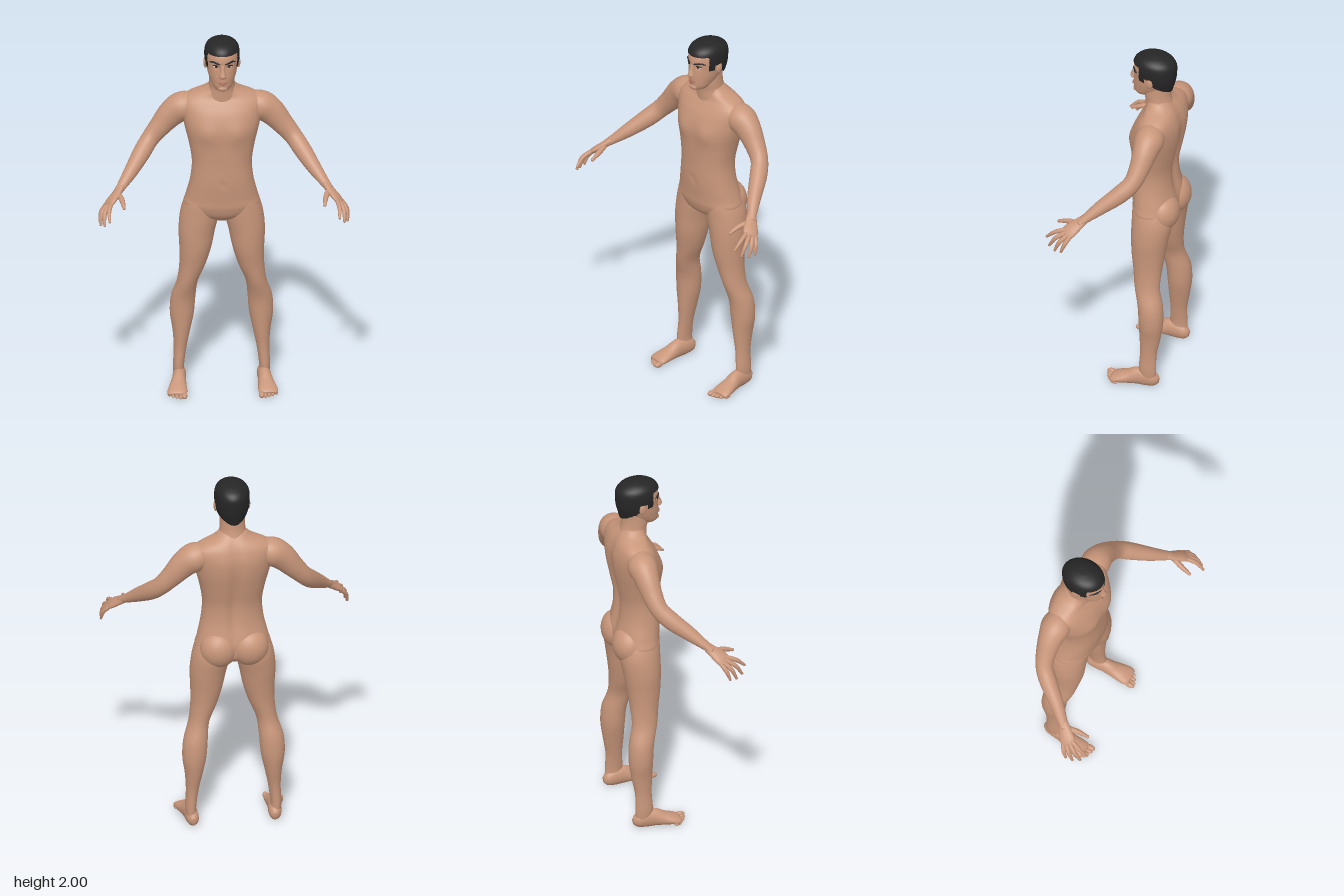
import * as THREE from 'three';

const mat = (name, color, side = THREE.FrontSide) => {
  const m = new THREE.MeshStandardMaterial({ color, side });
  m.name = name;
  return m;
};

// Smooth rows of numbers into `steps` in-between rows per gap.
function smoothRows(rows, steps) {
  const curve = new THREE.CubicInterpolant(rows.map((_, i) => i), rows.flat(), rows[0].length);
  const out = [];
  for (let i = 0; i <= (rows.length - 1) * steps; i++) out.push([...curve.evaluate(i / steps)]);
  return out;
}

// Skin closed rings of points; keep(centroid) can leave faces out.
function skin(rings, keep) {
  const n = rings[0].length, pts = rings.flat(), index = [];
  const face = (a, b, c) => {
    const mid = pts[a].clone().add(pts[b]).add(pts[c]).divideScalar(3);
    if (!keep || keep(mid)) index.push(a, b, c);
  };
  for (let k = 0; k < rings.length - 1; k++) for (let i = 0; i < n; i++) {
    const j = (i + 1) % n, a = k * n + i, b = k * n + j;
    face(a, b, a + n);
    face(b, b + n, a + n);
  }
  const centre = (ring) => ring.reduce((s, p) => s.add(p), new THREE.Vector3()).divideScalar(n);
  const last = (rings.length - 1) * n;
  pts.push(centre(rings[0]), centre(rings[rings.length - 1]));
  for (let i = 0; i < n; i++) {
    const j = (i + 1) % n;
    face(j, i, pts.length - 2);
    face(last + i, last + j, pts.length - 1);
  }
  const geo = new THREE.BufferGeometry().setFromPoints(pts);
  geo.setIndex(index);
  geo.computeVertexNormals();
  return geo;
}

// Level rings from rows of [y, centre x, half width, front z, back z].
function stack(rows, { segs = 40, steps = 5, square = 1, shape, keep } = {}) {
  const pow = (v) => Math.sign(v) * Math.abs(v) ** square;
  return skin(smoothRows(rows, steps).map(([y, cx, rx, zf, zb]) =>
    Array.from({ length: segs }, (_, i) => {
      const a = (i / segs) * Math.PI * 2;
      const p = new THREE.Vector3(cx + rx * pow(Math.cos(a)), y, (zf + zb) / 2 - (zf - zb) / 2 * pow(Math.sin(a)));
      if (shape) shape(p, -Math.sin(a));
      return p;
    })), keep);
}

// Rings across a path from rows of [x, y, z, radius sideways, radius along ref].
function limb(rows, ref = [0, 1, 0], segs = 24, steps = 5) {
  const fine = smoothRows(rows, steps), at = (i) => new THREE.Vector3(...fine[i].slice(0, 3));
  return skin(fine.map((r, k) => {
    const t = at(Math.min(k + 1, fine.length - 1)).sub(at(Math.max(k - 1, 0))).normalize();
    const u = new THREE.Vector3(...ref).cross(t).normalize(), v = t.clone().cross(u);
    return Array.from({ length: segs }, (_, i) => {
      const a = (i / segs) * Math.PI * 2;
      const p = at(k).addScaledVector(u, Math.cos(a) * r[3]).addScaledVector(v, Math.sin(a) * r[4]);
      p.y = Math.max(p.y, 0);
      return p;
    });
  }));
}

const ball = (c, r) => new THREE.SphereGeometry(1, 24, 16).scale(...r).translate(...c);

// Mirror across x = 0, turning the faces round again.
function mirrored(geo) {
  const g = geo.clone().scale(-1, 1, 1), ix = g.index;
  for (let i = 0; i < ix.count; i += 3) {
    const a = ix.getX(i);
    ix.setX(i, ix.getX(i + 1));
    ix.setX(i + 1, a);
  }
  return g;
}

export function createModel() {
  const model = new THREE.Group();
  model.name = 'standingFigure';
  const skinMat = mat('skin', 0xc8967a), hairMat = mat('hair', 0x262626, THREE.DoubleSide);
  const lipMat = mat('lips', 0xa86f5c), whiteMat = mat('eyeWhite', 0xd8cec6), irisMat = mat('iris', 0x2a1c16);
  const add = (name, geo, m = skinMat) => {
    const mesh = new THREE.Mesh(geo, m);
    mesh.name = name;
    model.add(mesh);
  };
  const pair = (name, geo, m) => {
    add(name + 'Left', geo, m);
    add(name + 'Right', mirrored(geo), m);
  };
  const bump = (v, c, w) => Math.exp(-(((v - c) / w) ** 2));

  // Torso with a spine furrow, chest muscles and a navel
  add('torso', stack([
    [0.965, 0, 0.05, -0.07, -0.19], [1.0, 0, 0.15, -0.03, -0.235], [1.05, 0, 0.198, -0.012, -0.245],
    [1.1, 0, 0.188, -0.008, -0.245], [1.2, 0, 0.165, 0, -0.225], [1.3, 0, 0.157, 0, -0.222],
    [1.4, 0, 0.172, 0.002, -0.24], [1.5, 0, 0.196, 0.002, -0.258], [1.58, 0, 0.21, -0.018, -0.262],
    [1.635, 0, 0.215, -0.048, -0.25], [1.67, 0, 0.175, -0.07, -0.235], [1.7, 0, 0.105, -0.075, -0.215],
    [1.73, 0, 0.068, -0.08, -0.19],
  ], {
    segs: 72, square: 0.88, shape: (p, front) => {
      if (front < 0) p.z += 0.022 * bump(p.x, 0, 0.03) * bump(p.y, 1.35, 0.28);
      else {
        p.z += front * 0.012 * bump(Math.abs(p.x), 0.085, 0.06) * bump(p.y, 1.49, 0.06);
        p.z -= 0.008 * bump(p.x, 0, 0.012) * bump(p.y, 1.2, 0.015);
      }
    },
  }));
  pair('buttock', ball([0.083, 1.05, -0.185], [0.1, 0.105, 0.087]));
  add('neck', stack([
    [1.62, 0, 0.1, -0.06, -0.22], [1.68, 0, 0.085, -0.06, -0.212], [1.72, 0, 0.071, -0.058, -0.2],
    [1.76, 0, 0.067, -0.05, -0.192], [1.83, 0, 0.065, -0.05, -0.19],
  ]));

  // Legs and feet
  pair('leg', stack([
    [0.05, 0.221, 0.03, -0.115, -0.2], [0.1, 0.225, 0.029, -0.105, -0.2], [0.2, 0.217, 0.033, -0.11, -0.2],
    [0.3, 0.21, 0.046, -0.105, -0.217], [0.4, 0.207, 0.063, -0.1, -0.23], [0.5, 0.2, 0.064, -0.092, -0.225],
    [0.6, 0.179, 0.055, -0.066, -0.201], [0.7, 0.153, 0.069, -0.05, -0.203], [0.8, 0.138, 0.084, -0.035, -0.215],
    [0.9, 0.13, 0.096, -0.03, -0.23], [1.0, 0.113, 0.103, -0.028, -0.245], [1.08, 0.105, 0.086, -0.03, -0.23],
    [1.14, 0.1, 0.055, -0.05, -0.2],
  ]));
  pair('foot', limb([
    [0.217, 0.035, -0.212, 0.012, 0.018], [0.217, 0.038, -0.19, 0.03, 0.038], [0.22, 0.045, -0.15, 0.035, 0.05],
    [0.224, 0.045, -0.1, 0.036, 0.05], [0.23, 0.033, -0.05, 0.043, 0.037], [0.236, 0.024, 0, 0.051, 0.026],
    [0.239, 0.018, 0.028, 0.05, 0.018], [0.24, 0.014, 0.04, 0.042, 0.011],
  ]));
  for (let i = 0; i < 5; i++) {
    const r = i ? 0.0105 - i * 0.0004 : 0.015;
    pair('toe' + (i + 1), ball([0.202 + i * 0.0195, r, 0.053 - i * i * 0.0024], [r, r, 0.027 - i * 0.0015]));
  }

  // Arms, hands and fingers
  pair('arm', limb([
    [0.12, 1.6, -0.155, 0.055, 0.06], [0.2, 1.592, -0.155, 0.078, 0.078], [0.26, 1.553, -0.153, 0.066, 0.072],
    [0.32, 1.485, -0.145, 0.054, 0.058], [0.375, 1.42, -0.125, 0.046, 0.049], [0.42, 1.365, -0.075, 0.046, 0.048],
    [0.48, 1.297, 0.01, 0.037, 0.037], [0.535, 1.24, 0.08, 0.026, 0.022], [0.555, 1.22, 0.105, 0.024, 0.018],
  ], [0, 1, 0], 32));
  const backOfHand = [0.65, 0.75, 0.1];
  pair('palm', limb([
    [0.53, 1.245, 0.075, 0.024, 0.019], [0.563, 1.212, 0.112, 0.034, 0.018],
    [0.59, 1.187, 0.14, 0.041, 0.017], [0.609, 1.17, 0.16, 0.036, 0.011],
  ], backOfHand));
  const fingers = {
    thumb: [[0.55, 1.215, 0.11], [0.533, 1.203, 0.17], [0.525, 1.183, 0.225]],
    indexFinger: [[0.588, 1.188, 0.165], [0.602, 1.165, 0.22], [0.601, 1.125, 0.264]],
    middleFinger: [[0.602, 1.178, 0.16], [0.625, 1.145, 0.207], [0.627, 1.093, 0.24]],
    ringFinger: [[0.612, 1.17, 0.147], [0.639, 1.134, 0.18], [0.645, 1.082, 0.203]],
    littleFinger: [[0.614, 1.167, 0.13], [0.642, 1.13, 0.15], [0.65, 1.085, 0.166]],
  };
  for (const [name, [a, b, c]] of Object.entries(fingers)) {
    const r = name === 'thumb' ? 0.014 : 0.0115;
    pair(name, limb([[...a, r * 1.1, r], [...b, r, r], [...c, r * 0.6, r * 0.6]], backOfHand, 12));
    pair(name + 'Tip', ball(c, [r * 0.65, r * 0.65, r * 0.65]));
  }

  // Head with eye hollows and cheekbones
  add('head', stack([
    [1.737, 0, 0.02, -0.02, -0.07], [1.745, 0, 0.038, -0.003, -0.09], [1.765, 0, 0.054, 0.006, -0.12],
    [1.79, 0, 0.065, 0.008, -0.16], [1.82, 0, 0.075, 0.008, -0.19], [1.86, 0, 0.083, 0.005, -0.21],
    [1.9, 0, 0.086, 0.008, -0.215], [1.94, 0, 0.084, 0.0, -0.212], [1.968, 0, 0.072, -0.025, -0.19],
    [1.985, 0, 0.045, -0.06, -0.155], [1.99, 0, 0.01, -0.1, -0.12],
  ], {
    segs: 72, shape: (p, front) => {
      if (front > 0) p.z -= 0.009 * bump(Math.abs(p.x), 0.034, 0.018) * bump(p.y, 1.882, 0.014);
    },
  }));
  add('nose', stack([
    [1.818, 0, 0.008, 0.012, -0.01], [1.824, 0, 0.02, 0.024, -0.01], [1.835, 0, 0.018, 0.031, -0.01],
    [1.86, 0, 0.012, 0.021, -0.01], [1.893, 0, 0.01, 0.009, -0.01],
  ], { segs: 20 }));
  add('upperLip', ball([0, 1.797, 0.007], [0.025, 0.005, 0.008]), lipMat);
  add('lowerLip', ball([0, 1.788, 0.007], [0.021, 0.006, 0.008]), lipMat);
  add('chin', ball([0, 1.758, -0.004], [0.026, 0.016, 0.016]));
  pair('ear', ball([0.086, 1.863, -0.108], [0.011, 0.031, 0.019]));
  pair('eye', ball([0.034, 1.882, -0.012], [0.015, 0.0065, 0.008]), whiteMat);
  pair('iris', ball([0.034, 1.882, -0.006], [0.0065, 0.006, 0.004]), irisMat);
  pair('eyelash', limb([
    [0.019, 1.885, -0.004, 0.002, 0.002], [0.034, 1.89, -0.004, 0.003, 0.003], [0.052, 1.885, -0.015, 0.002, 0.002],
  ], [0, 1, 0], 10), hairMat);
  pair('eyebrow', limb([
    [0.013, 1.899, 0.006, 0.003, 0.003], [0.033, 1.905, -0.001, 0.004, 0.0055],
    [0.052, 1.908, -0.014, 0.004, 0.0045], [0.067, 1.9, -0.032, 0.003, 0.002],
  ], [0, 1, 0], 12), hairMat);

  // Short hair, cut along a hairline that drops to sideburns and the nape
  const hairline = (z) => {
    if (z > -0.045) return 1.944;
    if (z > -0.08) return 1.86;
    if (z > -0.125) return 1.887;
    return THREE.MathUtils.mapLinear(z, -0.125, -0.2, 1.84, 1.79);
  };
  add('hair', stack([
    [1.785, 0, 0.058, 0, -0.203], [1.82, 0, 0.077, 0, -0.212], [1.86, 0, 0.088, 0.004, -0.222],
    [1.9, 0, 0.092, 0.01, -0.226], [1.94, 0, 0.091, 0.009, -0.225], [1.968, 0, 0.081, -0.005, -0.208],
    [1.988, 0, 0.058, -0.035, -0.175], [1.998, 0, 0.028, -0.075, -0.14], [2.0, 0, 0.004, -0.1, -0.11],
  ], { segs: 96, steps: 8, keep: (p) => p.y > hairline(p.z) }), hairMat);

  return model;
}
